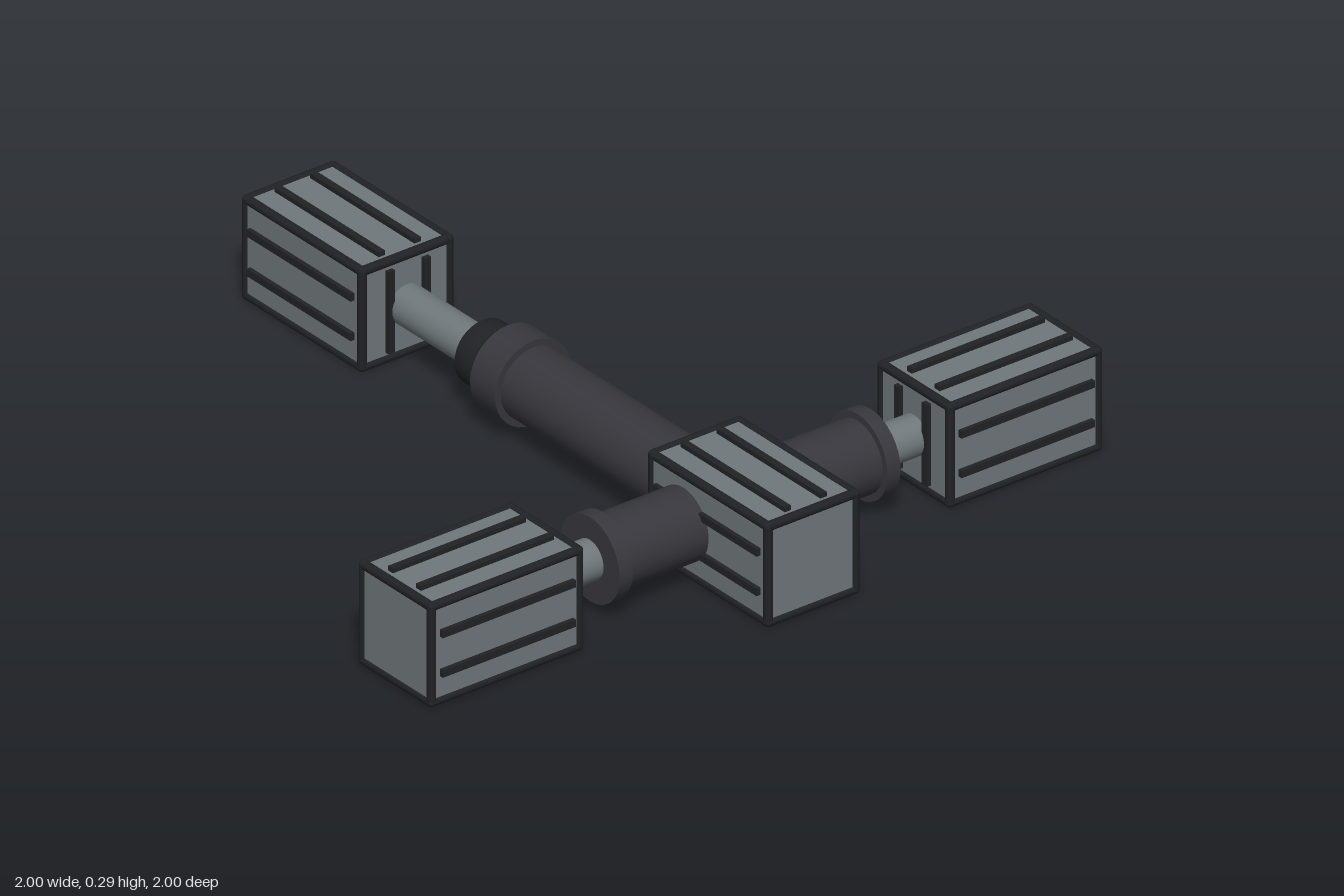
import * as THREE from 'three';

const mat = (name, color) => {
  const m = new THREE.MeshStandardMaterial({ color });
  m.name = name;
  return m;
};

export function createModel() {
  const steel = mat('steel grey', 0x70787b);
  const sleeveDark = mat('sleeve charcoal', 0x37373d);
  const trim = mat('trim black', 0x202225);

  const model = new THREE.Group();
  model.name = 'threeArmHub';
  const CX = -0.005, CY = 0.14, CZ = 0.675;

  const add = (parent, name, geo, material, x = 0, y = 0, z = 0) => {
    const mesh = new THREE.Mesh(geo, material);
    mesh.name = name;
    mesh.position.set(x, y, z);
    parent.add(mesh);
    return mesh;
  };

  // Cylinder running along z from z0 to z1
  const barrel = (parent, name, r, z0, z1, material) =>
    add(parent, name, new THREE.CylinderGeometry(r, r, z1 - z0, 32).rotateX(Math.PI / 2),
      material, 0, 0, (z0 + z1) / 2);

  // Ribbed block: plain outer end at +z, ribbed inner end at -z
  const W = 0.268, L = 0.448;
  function block(name) {
    const g = new THREE.Group();
    g.name = name;
    add(g, 'blockBody', new THREE.BoxGeometry(W, W, L), steel);

    // Rounded trim on all twelve edges
    const r = 0.012, e = W / 2 - 0.006, ez = L / 2 - 0.006;
    for (const a of [-1, 1]) for (const b of [-1, 1]) {
      add(g, 'edgeTrim', new THREE.CapsuleGeometry(r, 2 * ez, 4, 10).rotateX(Math.PI / 2), trim, a * e, b * e, 0);
      add(g, 'edgeTrim', new THREE.CapsuleGeometry(r, 2 * e, 4, 10), trim, a * e, 0, b * ez);
      add(g, 'edgeTrim', new THREE.CapsuleGeometry(r, 2 * e, 4, 10).rotateZ(Math.PI / 2), trim, 0, a * e, b * ez);
    }

    // Pairs of raised ribs on the top, both sides and the inner end
    const t = 0.024, w = 0.019, len = 0.395;
    for (const s of [-0.053, 0.053]) {
      add(g, 'topRib', new THREE.BoxGeometry(w, t, len), trim, s, W / 2, 0);
      for (const side of [-1, 1])
        add(g, 'sideRib', new THREE.BoxGeometry(t, w, len), trim, side * W / 2, s, 0);
      add(g, 'innerEndRib', new THREE.BoxGeometry(w, 0.22, t), trim, s, 0, -L / 2);
    }
    return g;
  }

  // Front block
  const front = block('frontBlock');
  front.position.set(CX, CY, 0.77);
  model.add(front);

  // Side arms, pointing along local +z and turned outwards
  for (const side of [-1, 1]) {
    const arm = new THREE.Group();
    arm.name = side > 0 ? 'leftArm' : 'rightArm';
    arm.position.set(0, CY, CZ);
    arm.rotation.y = side * Math.PI / 2;
    barrel(arm, 'sleeve', 0.095, 0.0, 0.385, sleeveDark);
    barrel(arm, 'flange', 0.113, 0.378, 0.417, sleeveDark);
    barrel(arm, 'rod', 0.052, 0.4, 0.6, steel);
    const end = block('endBlock');
    end.position.z = 0.77;
    arm.add(end);
    model.add(arm);
  }

  // Rear arm, longer and fitted with a collar
  const rear = new THREE.Group();
  rear.name = 'rearArm';
  rear.position.set(CX, CY, 0);
  rear.rotation.y = Math.PI;
  barrel(rear, 'sleeve', 0.095, -0.6, 0.08, sleeveDark);
  barrel(rear, 'flange', 0.113, 0.067, 0.162, sleeveDark);
  barrel(rear, 'rod', 0.052, 0.15, 0.6, steel);

  // Bevelled collar on the rod
  const profile = [[0.045, -0.035], [0.077, -0.035], [0.085, -0.027],
    [0.085, 0.027], [0.077, 0.035], [0.045, 0.035]].map(p => new THREE.Vector2(...p));
  add(rear, 'collar', new THREE.LatheGeometry(profile, 32).rotateX(Math.PI / 2), trim, 0, 0, 0.23);

  const end = block('endBlock');
  end.position.z = 0.77;
  rear.add(end);
  model.add(rear);

  return model;
}
